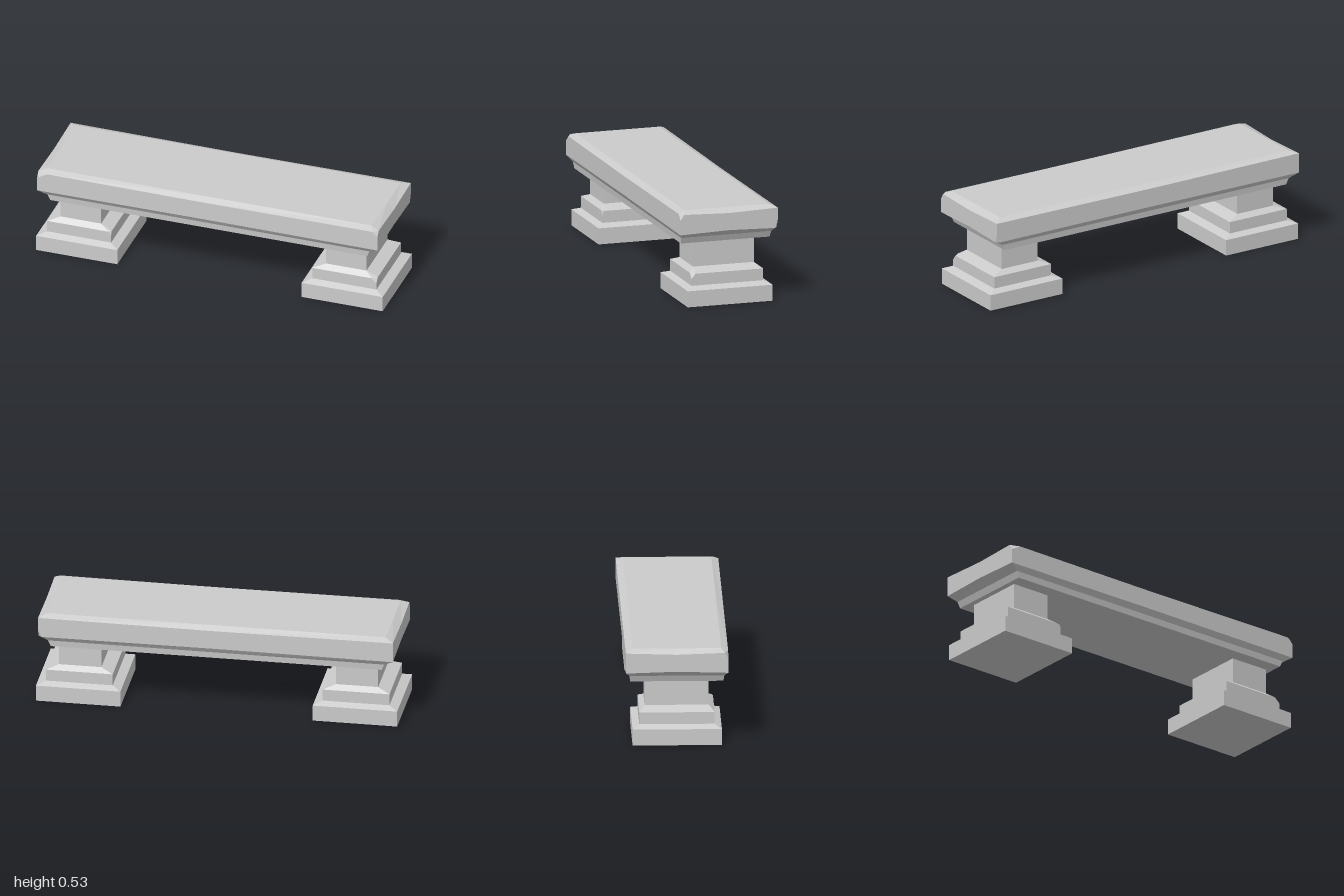
import * as THREE from 'three';

// Stacks rectangular sections { y, hx, hz, sag, cuts } into a closed, flat-shaded solid.
// sag moves the middle of each edge up or down: [ends, long sides].
// cuts chip corners: { corner: [cutX, cutZ] }, corners 0..3 run
// front left, back left, back right, front right.
function loft(name, sections) {
  const signs = [[1, 1], [1, -1], [-1, -1], [-1, 1]];
  const loops = sections.map(({ y, hx, hz, sag = [0, 0], cuts = {} }) => {
    const loop = [];
    signs.forEach(([sx, sz], i) => {
      const [cx, cz] = cuts[i] || [0, 0];
      const alongX = new THREE.Vector3(sx * (hx - cx), y, sz * hz);
      const alongZ = new THREE.Vector3(sx * hx, y, sz * (hz - cz));
      loop.push(...(i % 2 ? [alongZ, alongX] : [alongX, alongZ]));
      // middle of the edge that follows this corner
      loop.push(i % 2
        ? new THREE.Vector3(0, y + sag[1], sz * hz)
        : new THREE.Vector3(sx * hx, y + sag[0], 0));
    });
    return loop;
  });

  const positions = [];
  const tri = (a, b, c) => {
    if (new THREE.Triangle(a, b, c).getArea() < 1e-7) return;
    for (const p of [a, b, c]) positions.push(p.x, p.y, p.z);
  };
  const n = loops[0].length;
  const bottom = loops[0], top = loops[loops.length - 1];
  const low = new THREE.Vector3(0, sections[0].y, 0);
  const high = new THREE.Vector3(0, sections[sections.length - 1].y, 0);
  for (let i = 0; i < n; i++) {
    const j = (i + 1) % n;
    for (let k = 0; k + 1 < loops.length; k++) {
      const a = loops[k], b = loops[k + 1];
      tri(a[i], a[j], b[j]);
      tri(a[i], b[j], b[i]);
    }
    tri(low, bottom[j], bottom[i]);
    tri(high, top[i], top[j]);
  }

  const geometry = new THREE.BufferGeometry();
  geometry.setAttribute('position', new THREE.Float32BufferAttribute(positions, 3));
  geometry.computeVertexNormals();
  const material = new THREE.MeshStandardMaterial({ color: 0xcccccc, flatShading: true });
  const mesh = new THREE.Mesh(geometry, material);
  mesh.name = name;
  return mesh;
}

// Stepped pedestal: wide foot, middle plinth with one chipped corner, plain column
function pedestal(name, x, chip) {
  const mesh = loft(name, [
    { y: 0, hx: 0.234, hz: 0.244 },
    { y: 0.09, hx: 0.234, hz: 0.244 },
    { y: 0.107, hx: 0.185, hz: 0.206 },
    { y: 0.145, hx: 0.185, hz: 0.206 },
    { y: 0.173, hx: 0.185, hz: 0.206, cuts: { 0: chip } },
    { y: 0.197, hx: 0.117, hz: 0.175 },
    { y: 0.345, hx: 0.117, hz: 0.175 },
  ]);
  mesh.position.x = x;
  return mesh;
}

export function createModel() {
  const bench = new THREE.Group();
  bench.name = 'stoneBench';

  // Worn slab: narrow base, flared underside, bevelled top with chipped corners
  bench.add(loft('seatSlab', [
    { y: 0.34, hx: 0.915, hz: 0.255 },
    { y: 0.375, hx: 0.93, hz: 0.259 },
    { y: 0.403, hx: 0.982, hz: 0.28, sag: [0.008, 0.003], cuts: { 1: [0.02, 0.015] } },
    { y: 0.45, hx: 0.982, hz: 0.28 },
    { y: 0.484, hx: 0.982, hz: 0.28 },
    { y: 0.516, hx: 0.982, hz: 0.28, sag: [-0.009, -0.004],
      cuts: { 0: [0.03, 0.02], 3: [0.06, 0.02] } },
    { y: 0.531, hx: 0.937, hz: 0.242 },
  ]));

  bench.add(pedestal('leftPedestal', 0.766, [0.03, 0.022]));
  bench.add(pedestal('rightPedestal', -0.766, [0.02, 0.008]));
  return bench;
}
